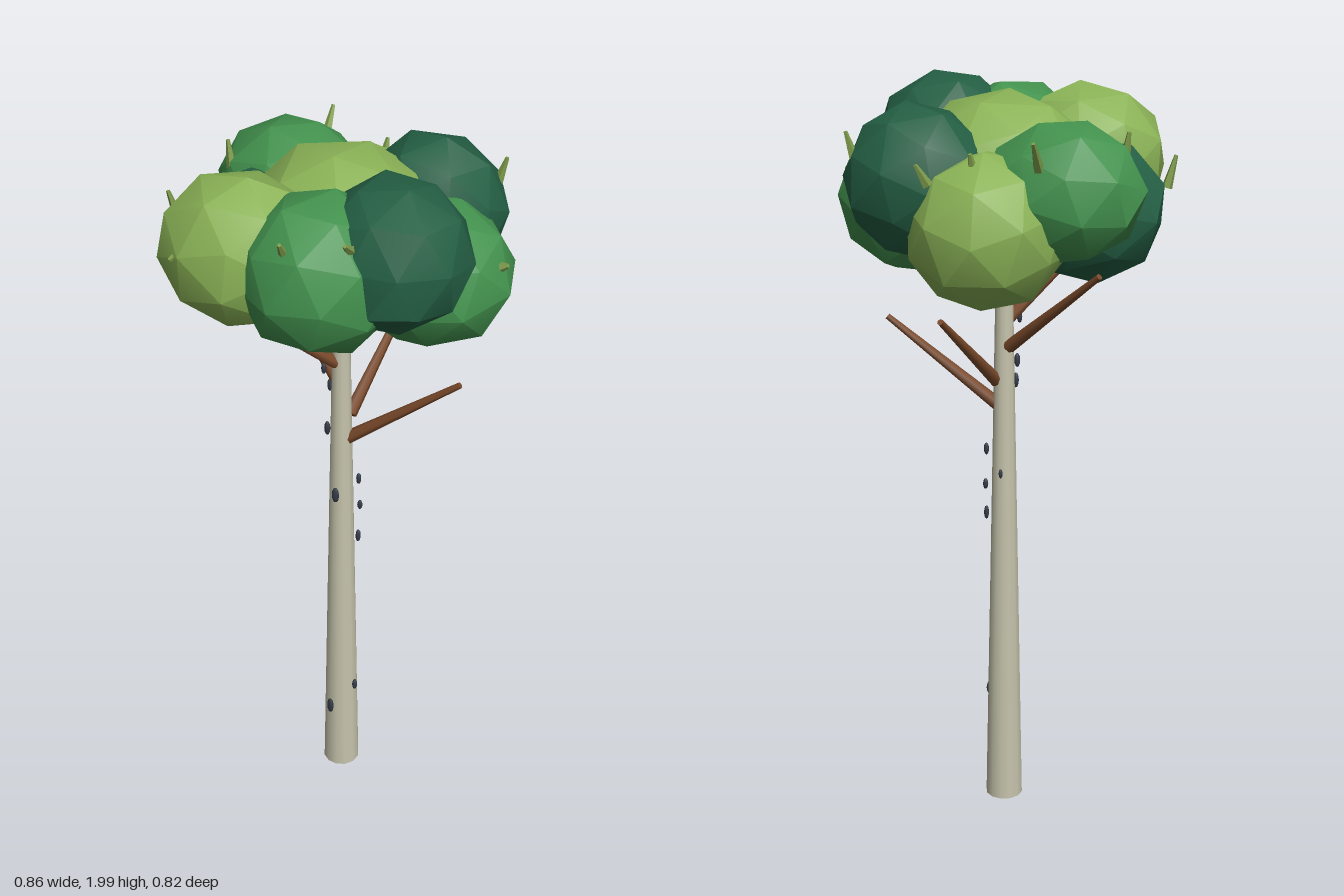
import * as THREE from 'three';
import { toCreasedNormals } from 'three/addons/utils/BufferGeometryUtils.js';
import { ConvexGeometry } from 'three/addons/geometries/ConvexGeometry.js';

const paint = (color, flatShading = false) => {
  const m = new THREE.MeshStandardMaterial({ flatShading });
  m.color.set(color);
  return m;
};
const V = (a) => new THREE.Vector3(...a);

// Small seeded generator for the uneven crown clumps
function seeded(seed) {
  let s = seed;
  return () => (s = (s * 16807) % 2147483647) / 2147483647;
}

// Tapered rod between two points
function rod(name, from, to, r0, r1, sides, material) {
  const a = V(from), dir = V(to).sub(a), len = dir.length();
  const geo = new THREE.CylinderGeometry(r1, r0, len, sides).translate(0, len / 2, 0);
  const mesh = new THREE.Mesh(geo, material);
  mesh.position.copy(a);
  mesh.quaternion.setFromUnitVectors(new THREE.Vector3(0, 1, 0), dir.normalize());
  mesh.name = name;
  return mesh;
}

// The 32 corners of a ball with 60 broad facets
function ballCorners() {
  const t = (1 + Math.sqrt(5)) / 2, corners = [];
  for (const a of [-1, 1]) for (const b of [-1, 1]) {
    corners.push([a, b, 1], [a, b, -1]);
    corners.push([a, b * t, 0], [0, a, b * t], [b * t, 0, a]);
    corners.push([0, a * t, b / t], [b / t, 0, a * t], [a * t, b / t, 0]);
  }
  return corners.map((c) => V(c).normalize());
}

// Faceted clump: the ball turned, made uneven and scaled
function clumpGeometry(size, seed) {
  const rand = seeded(seed * 7919 + 13);
  for (let i = 0; i < 5; i++) rand();
  const turn = new THREE.Euler(rand() * 6.28, rand() * 6.28, 0);
  const points = ballCorners().map((p) =>
    p.applyEuler(turn).multiplyScalar(0.99 + 0.06 * rand()).multiply(V(size)));
  return toCreasedNormals(new ConvexGeometry(points), 0.55);
}

export function createModel() {
  const tree = new THREE.Group();
  tree.name = 'tree';
  const lime = paint(0x8ab256), green = paint(0x43924e), dark = paint(0x245f44);
  const bark = paint(0xc6c4ac), wood = paint(0x7a4a2b), spot = paint(0x353b48);

  // Trunk
  tree.add(rod('trunk', [0, 0, 0], [0, 1.58, 0], 0.051, 0.021, 12, bark));

  // Branches
  const branches = [
    [[0.015, 1.155, 0], [0.31, 1.38, 0]],
    [[0.02, 1.225, -0.01], [0.1, 1.46, -0.3]],
    [[-0.015, 1.32, -0.015], [-0.27, 1.56, -0.18]],
    [[-0.01, 1.39, 0.01], [-0.21, 1.59, 0.16]],
    [[0, 1.455, 0.01], [0.07, 1.62, 0.21]],
  ];
  branches.forEach(([a, b]) => tree.add(rod('branch', a, b, 0.018, 0.008, 7, wood)));

  // Dark bark marks: x, y, z, half height
  const marks = [
    [0.048, 1.03, 0, 0.017], [0.048, 0.935, -0.012, 0.015], [0.05, 0.845, 0.008, 0.019],
    [0, 1, 0.05, 0.024], [0, 0.98, -0.05, 0.013], [-0.022, 1.21, 0.048, 0.021],
    [-0.04, 1.29, -0.03, 0.019], [-0.033, 1.385, 0.04, 0.016],
    [0.047, 0.31, 0.022, 0.018], [-0.018, 0.23, 0.047, 0.026],
  ];
  const markGeo = new THREE.SphereGeometry(1, 8, 6);
  for (const [x, y, z, h] of marks) {
    const mark = new THREE.Mesh(markGeo, spot);
    mark.name = 'barkMark';
    mark.position.set(x, y, z);
    mark.rotation.y = Math.atan2(x, z);
    mark.scale.set(h * 0.42, h, 0.007);
    tree.add(mark);
  }

  // Crown clumps: material, centre, radii
  const clumps = [
    [lime, [0, 1.79, -0.01], [0.235, 0.18, 0.215]],
    [green, [-0.175, 1.762, -0.175], [0.2, 0.175, 0.162]],
    [lime, [0, 1.67, -0.22], [0.2, 0.195, 0.185]],
    [dark, [0.183, 1.775, -0.165], [0.187, 0.187, 0.16]],
    [green, [0.22, 1.695, 0], [0.208, 0.187, 0.185]],
    [dark, [0.175, 1.812, 0.155], [0.185, 0.185, 0.182]],
    [green, [0.015, 1.77, 0.215], [0.197, 0.195, 0.19]],
    [lime, [-0.18, 1.78, 0.185], [0.205, 0.19, 0.172]],
    [dark, [-0.21, 1.69, -0.02], [0.2, 0.178, 0.175]],
  ];
  const crown = new THREE.Group();
  crown.name = 'crown';
  clumps.forEach(([material, c, size], i) => {
    const clump = new THREE.Mesh(clumpGeometry(size, i + 1), material);
    clump.name = 'leafClump';
    clump.position.set(...c);
    crown.add(clump);
  });

  // Sprigs poking out of the crown: root and tip
  const sprigs = [
    [[-0.14, 1.84, -0.3], [-0.135, 1.91, -0.35]],
    [[0.12, 1.8, -0.33], [0.145, 1.85, -0.345]],
    [[0.325, 1.83, -0.22], [0.345, 1.9, -0.225]],
    [[-0.315, 1.83, -0.1], [-0.325, 1.9, -0.105]],
    [[-0.405, 1.74, 0.035], [-0.425, 1.82, 0.045]],
    [[0.4, 1.75, 0.03], [0.42, 1.76, 0.035]],
    [[-0.27, 1.83, 0.28], [-0.31, 1.8, 0.32]],
    [[-0.02, 1.87, 0.34], [-0.02, 1.92, 0.375]],
    [[0.12, 1.89, 0.3], [0.118, 1.92, 0.335]],
    [[0.02, 1.82, -0.28], [0.025, 1.87, -0.295]],
  ];
  const sprigPaint = paint(0x7d9a4a, true);
  sprigs.forEach(([a, b]) => crown.add(rod('sprig', a, b, 0.014, 0.005, 5, sprigPaint)));
  tree.add(crown);
  return tree;
}
